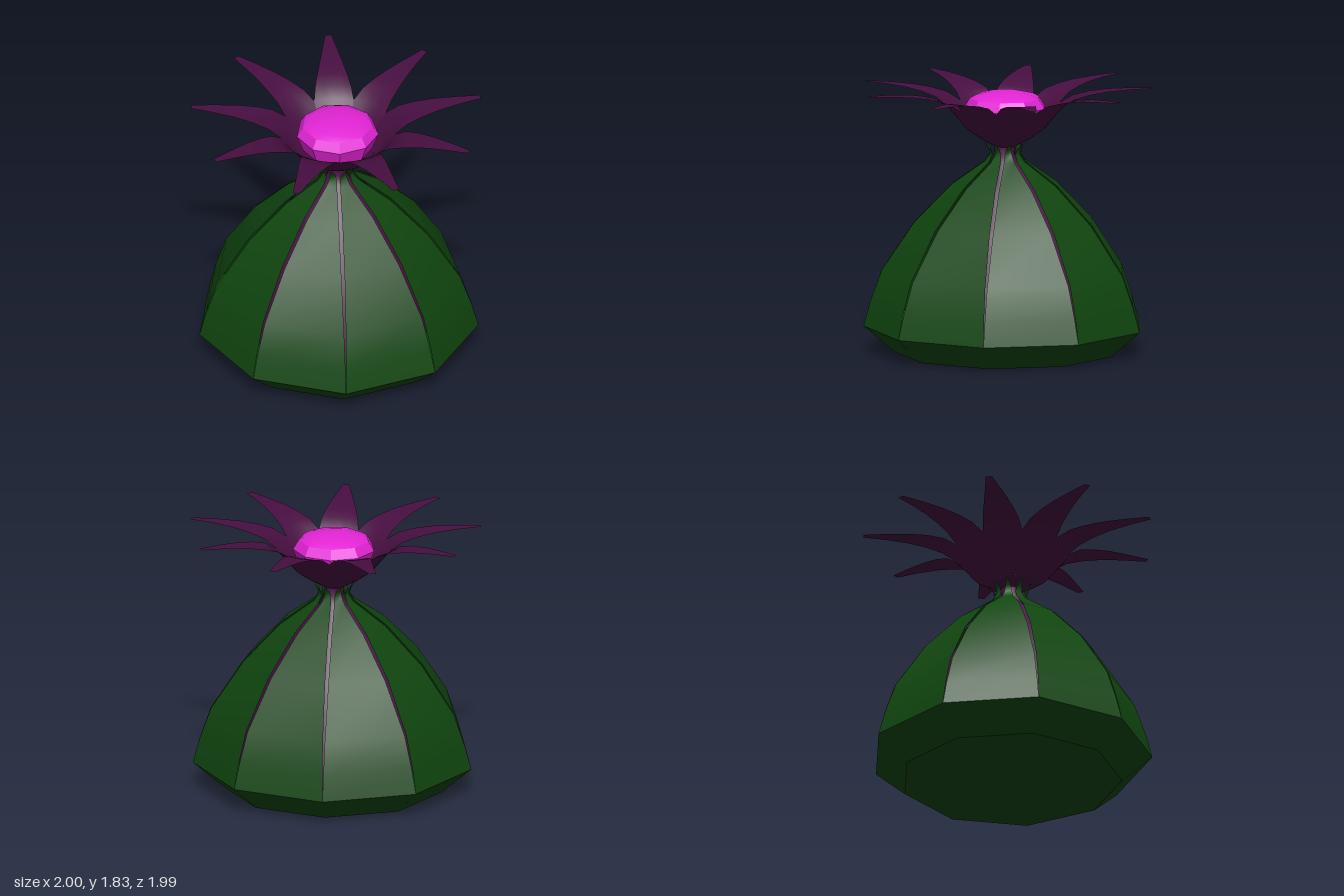
import * as THREE from 'three';

const SIDES = 9;
const STEP = (Math.PI * 2) / SIDES;
const HALF = STEP / 2;

// Sheet of quads: rows of points, each row running from the left edge to the right edge
function sheet(rows) {
  const cols = rows[0].length;
  const index = [];
  for (let i = 0; i < rows.length - 1; i++) {
    for (let j = 0; j < cols - 1; j++) {
      const a = i * cols + j, b = a + 1, c = a + cols, d = c + 1;
      index.push(a, b, d, a, d, c);
    }
  }
  const geo = new THREE.BufferGeometry();
  geo.setAttribute('position', new THREE.Float32BufferAttribute(rows.flat(2), 3));
  geo.setIndex(index);
  geo.computeVertexNormals();
  return geo;
}

// Nine-sided turned shape with corners lined up with the pod ribs
function turned(points, flat) {
  const geo = new THREE.LatheGeometry(points.map(([r, y]) => new THREE.Vector2(r, y)), SIDES, HALF);
  if (!flat) return geo;
  const faceted = geo.toNonIndexed();
  faceted.computeVertexNormals();
  return faceted;
}

export function createModel() {
  const material = (name, color, side = THREE.DoubleSide) => {
    const m = new THREE.MeshStandardMaterial({ color, side });
    m.name = name;
    return m;
  };
  const green = material('leaf green', 0x10460f);
  const purple = material('petal purple', 0x470f41);
  const pink = material('centre pink', 0xe325d6);

  const model = new THREE.Group();
  model.name = 'flower';
  const add = (name, geo, mat, turn = 0) => {
    const mesh = new THREE.Mesh(geo, mat);
    mesh.name = name;
    mesh.rotation.y = turn;
    mesh.position.z = -0.02;
    model.add(mesh);
  };

  // Faceted bowl under the pod
  add('podBase', turned([[0, 0], [0.766, 0], [0.975, 0.18]], true), green);

  // Pod leaves: corner radius, height, gap left at each edge
  const podProfile = [
    [0.975, 0.18, 0], [0.93, 0.35, 0.003], [0.853, 0.57, 0.007], [0.63, 0.905, 0.012],
    [0.372, 1.17, 0.013], [0.145, 1.33, 0.012], [0.112, 1.38, 0.013],
    [0.125, 1.42, 0.024], [0.16, 1.46, 0.05],
  ];
  const leaf = sheet(podProfile.map(([r, y, gap]) => {
    const w = r * Math.sin(HALF) - gap, z = r * Math.cos(HALF);
    return [[-w, y, z], [w, y, z]];
  }));
  for (let i = 0; i < SIDES; i++) add('podLeaf', leaf, green, i * STEP);

  // Purple core seen through the slits, running up into the neck
  add('innerCore', turned([
    [0.68, 0.18], [0.62, 0.5], [0.44, 0.87], [0.25, 1.14], [0.09, 1.32], [0.065, 1.38], [0.07, 1.44],
  ]), purple);

  // Petals: reach, height, half width; the low rows join into a cup
  const petalProfile = [
    [0.07, 1.43, 0.024], [0.17, 1.485, 0.058], [0.27, 1.555, 0.0923], [0.34, 1.64, 0.1163],
    [0.4, 1.71, 0.1368], [0.48, 1.765, 0.124], [0.58, 1.795, 0.104], [0.7, 1.815, 0.079],
    [0.85, 1.826, 0.05], [1.01, 1.83, 0.022],
  ];
  const petal = sheet(petalProfile.map(([r, y, w]) => [-1, -0.5, 0, 0.5, 1].map((t) => {
    const x = w * t;
    return [x, y, Math.sqrt(r * r - x * x)];
  })));
  for (let i = 0; i < SIDES; i++) add('petal', petal, purple, i * STEP);

  // Flower centre: smooth cap on a faceted band
  add('centreCap', turned([[0.245, 1.765], [0.2, 1.79], [0.11, 1.81], [0, 1.817]]), pink);
  add('centreBand', turned([[0.24, 1.58], [0.285, 1.7], [0.245, 1.765]], true), pink);

  return model;
}
